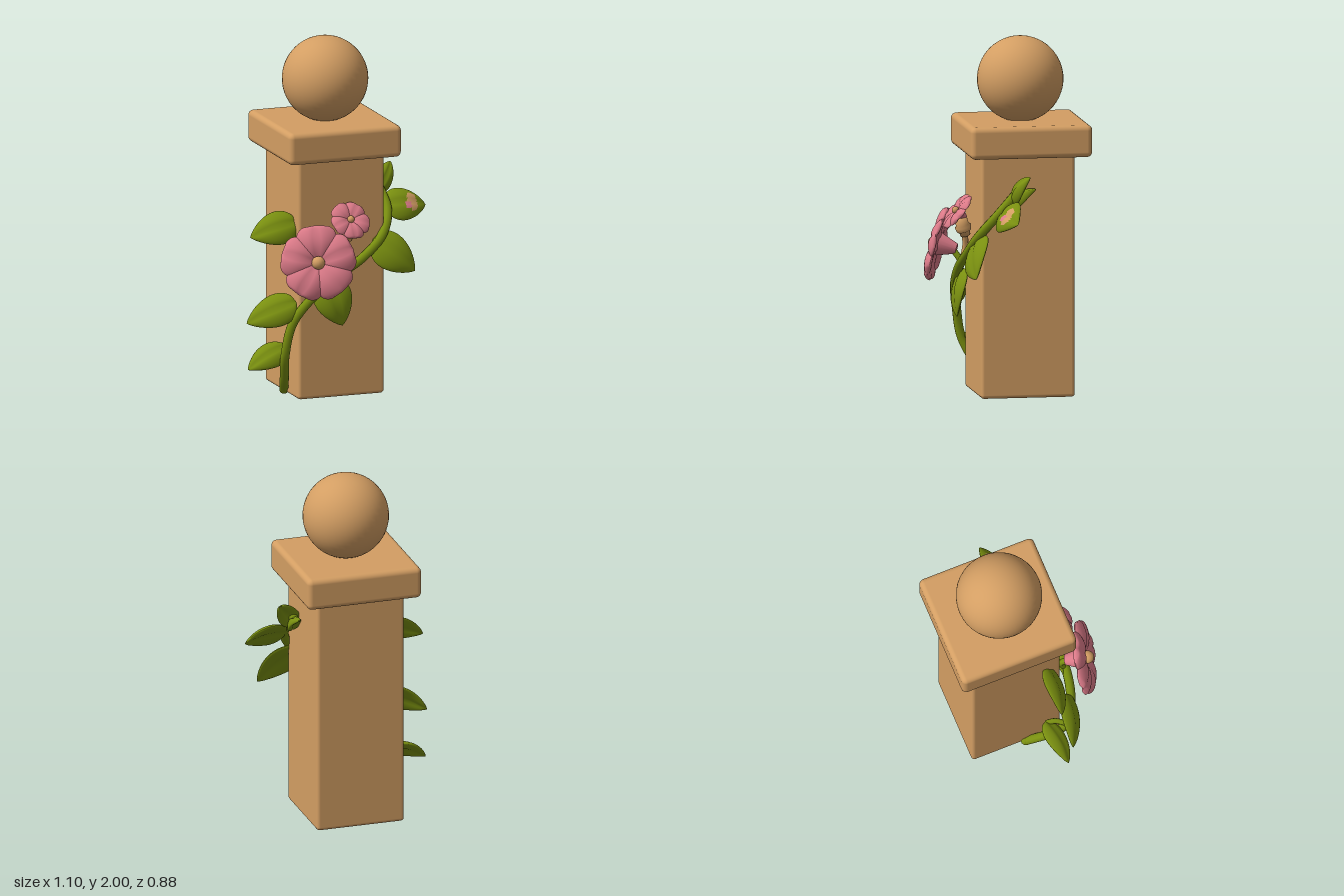
import * as THREE from 'three';
import { RoundedBoxGeometry } from 'three/addons/geometries/RoundedBoxGeometry.js';

const material = (name, color) => Object.assign(new THREE.MeshStandardMaterial({ color }), { name });
const V = (a) => new THREE.Vector3(...a);

export function createModel() {
  const stone = material('sandstone', 0xd39e63);
  const green = material('leaf green', 0x7a9010);
  const pink = material('petal pink', 0xdb7a88);
  const root = new THREE.Group();
  root.name = 'gatePost';

  const add = (parent, name, geometry, mat, pos = [0, 0, 0]) => {
    const mesh = new THREE.Mesh(geometry, mat);
    mesh.name = name;
    mesh.position.set(...pos);
    parent.add(mesh);
    return mesh;
  };

  // Puffy blade along +y facing +z; a and b shape the base and the tip of its outline
  function blade(length, halfWidth, thick, a, b, fold, bend) {
    const g = new THREE.SphereGeometry(1, 28, 24);
    const p = g.attributes.position, uv = g.attributes.uv;
    const peak = a / (a + b), top = peak ** a * (1 - peak) ** b;
    for (let i = 0; i < p.count; i++) {
      const t = Math.min(1, Math.max(0, uv.getY(i)));
      const r = Math.hypot(p.getX(i), p.getZ(i)) || 1;
      const c = p.getX(i) / r, s = p.getZ(i) / r;
      const w = t ** a * (1 - t) ** b / top;
      const crease = 1 - 0.45 * Math.exp(-((c * w / 0.18) ** 2));
      p.setXYZ(i, halfWidth * w * c, length * t,
        thick * Math.sqrt(w) * s * crease + fold * (c * w) ** 2 + bend * Math.sin(Math.PI * t));
    }
    g.computeVertexNormals();
    return g;
  }

  // Turn a mesh so its +y runs from base to tip and its +z faces the hint
  function aim(mesh, base, tip, facing) {
    const y = V(tip).sub(V(base)).normalize();
    const x = y.clone().cross(V(facing)).normalize();
    mesh.quaternion.setFromRotationMatrix(new THREE.Matrix4().makeBasis(x, y, x.clone().cross(y)));
    mesh.position.set(...base);
  }

  // Post, cap and ball
  add(root, 'post', new RoundedBoxGeometry(0.51, 1.38, 0.53, 3, 0.02), stone, [-0.005, 0.695, -0.07]);
  add(root, 'cap', new RoundedBoxGeometry(0.665, 0.18, 0.685, 3, 0.03), stone, [-0.003, 1.445, -0.078]);
  add(root, 'ball', new THREE.SphereGeometry(0.24, 40, 28), stone, [-0.003, 1.76, -0.07]);

  // Climbing stem
  const vine = new THREE.CatmullRomCurve3([
    [-0.265, 0.02, -0.02], [-0.315, 0.13, 0.12], [-0.34, 0.27, 0.2], [-0.31, 0.45, 0.235],
    [-0.22, 0.58, 0.26], [-0.07, 0.7, 0.265], [0.1, 0.8, 0.25], [0.23, 0.91, 0.21],
    [0.295, 1.03, 0.12], [0.28, 1.16, 0],
  ].map(V));
  add(root, 'vineStem', new THREE.TubeGeometry(vine, 70, 0.026, 10), green);
  add(root, 'vineTip', new THREE.SphereGeometry(0.026, 10, 8), green, [0.28, 1.16, 0]);
  add(root, 'vineFoot', new THREE.SphereGeometry(0.026, 10, 8), green, [-0.265, 0.026, -0.02]);

  // Leaves: base, tip, facing, half width
  const leaves = [
    ['topLeaf', [0.265, 1.11, 0.02], [0.38, 1.26, -0.06], [0.1, 0.3, 1], 0.06],
    ['backLeaf', [0.28, 1.08, 0.03], [0.28, 1.18, -0.11], [0.4, 1, 0.6], 0.04],
    ['patchedLeaf', [0.295, 1.05, 0.08], [0.55, 1.02, 0.04], [0.1, 0.62, 0.8], 0.1],
    ['rightLeaf', [0.18, 0.89, 0.2], [0.41, 0.7, 0.25], [0.3, 0.35, 1], 0.115],
    ['middleLeaf', [-0.11, 0.69, 0.23], [-0.03, 0.43, 0.28], [0, 0.3, 1], 0.115],
    ['leftLeaf', [-0.28, 0.57, 0.22], [-0.55, 0.455, 0.15], [-0.2, 0.5, 0.8], 0.095],
    ['lowLeaf', [-0.29, 0.29, 0.09], [-0.535, 0.185, 0.13], [-0.25, 0.65, 0.7], 0.08],
    ['upperLeftLeaf', [-0.24, 1.0, 0.12], [-0.51, 0.93, 0.1], [-0.15, 0.5, 0.83], 0.098],
  ];
  for (const [name, base, tip, facing, half] of leaves) {
    const length = V(base).distanceTo(V(tip));
    const g = blade(length, half, 0.022, 0.5, 0.85, -0.02, 0.025);
    let mat = green;
    if (name === 'patchedLeaf') {
      // Pale and pink blotches on the upper face, chosen triangle by triangle
      mat = [green, stone, pink];
      const p = g.attributes.position, n = g.attributes.normal, idx = g.index;
      for (let i = 0; i < idx.count; i += 3) {
        const v = [0, 1, 2].map((k) => idx.getX(i + k));
        const mean = (f) => (f(v[0]) + f(v[1]) + f(v[2])) / 3;
        const x = mean((k) => p.getX(k)), y = mean((k) => p.getY(k)) / length;
        const front = mean((k) => n.getZ(k)) > 0.2;
        const pale = Math.hypot((y - 0.6) / 0.13, (Math.abs(x) - 0.005) / 0.05) < 1;
        const spot = Math.hypot((y - 0.49) / 0.08, (x - 0.018) / 0.022) < 1;
        g.addGroup(i, 3, front && spot ? 2 : front && pale ? 1 : 0);
      }
    }
    aim(add(root, name, g, mat), base, tip, facing);
  }

  // Stub joining the lowest leaf to the stem
  add(root, 'lowLeafStalk', new THREE.TubeGeometry(new THREE.CatmullRomCurve3(
    [[-0.34, 0.28, 0.19], [-0.31, 0.29, 0.14], [-0.3, 0.285, 0.09]].map(V)), 8, 0.016, 8), green);

  // Five-petalled flower facing its local +z
  function flower(name, center, facing, radius, turn) {
    const group = new THREE.Group();
    group.name = name;
    group.position.set(...center);
    group.quaternion.setFromUnitVectors(new THREE.Vector3(0, 0, 1), V(facing).normalize());
    for (let i = 0; i < 5; i++) {
      const a = turn + i * Math.PI * 2 / 5;
      const petal = add(group, 'petal', blade(radius * 0.97, radius * 0.54, radius * 0.12,
        0.7, 0.36, -radius * 0.1, radius * 0.1), pink);
      const dir = [Math.cos(a), Math.sin(a), 0.04];
      aim(petal, dir.map((d) => d * radius * 0.05), dir.map((d) => d * radius), [0, 0, 1]);
    }
    const throat = add(group, 'throat', new THREE.CylinderGeometry(radius * 0.32, radius * 0.14, radius * 0.5, 18),
      pink, [0, 0, -radius * 0.24]);
    throat.rotation.x = Math.PI / 2;
    add(group, 'flowerEye', new THREE.SphereGeometry(radius * 0.18, 16, 12), stone, [0, 0, radius * 0.14]);
    root.add(group);
  }
  flower('largeFlower', [-0.2, 0.815, 0.35], [-0.36, 0.26, 1], 0.205, 1.6);
  flower('smallFlower', [0.012, 1.025, 0.285], [0.08, 0.7, 0.85], 0.112, 0.95);

  // Stepped cup and stalk under the small flower
  const cup = new THREE.LatheGeometry([[0, 0], [0.028, 0.005], [0.03, 0.03], [0.042, 0.036], [0.046, 0.06],
    [0.036, 0.07], [0.036, 0.11], [0, 0.115]].map((q) => new THREE.Vector2(...q)), 18);
  aim(add(root, 'flowerCup', cup, stone), [-0.012, 0.885, 0.235], [0.01, 1.0, 0.272], [0, 0, 1]);
  add(root, 'smallFlowerStalk', new THREE.TubeGeometry(new THREE.CatmullRomCurve3(
    [[-0.04, 0.73, 0.255], [-0.03, 0.82, 0.235], [-0.01, 0.9, 0.24]].map(V)), 12, 0.017, 8), stone);

  // Stalk behind the large flower
  add(root, 'largeFlowerStalk', new THREE.TubeGeometry(new THREE.CatmullRomCurve3(
    [[-0.15, 0.64, 0.26], [-0.15, 0.72, 0.24], [-0.175, 0.79, 0.28]].map(V)), 12, 0.018, 8), green);

  return root;
}
